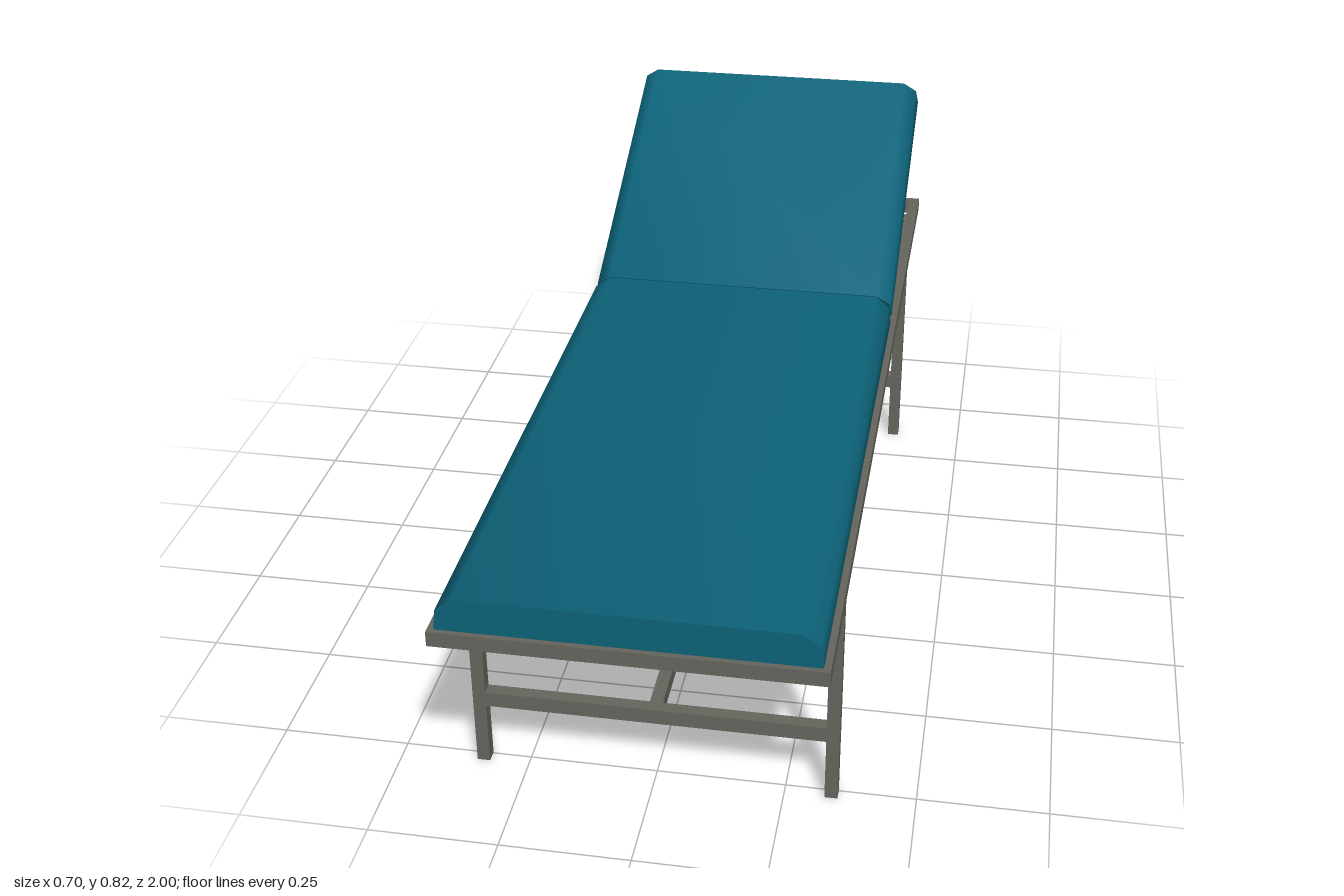
import * as THREE from 'three';
import { toCreasedNormals } from 'three/addons/utils/BufferGeometryUtils.js';

export function createModel() {
  const steel = new THREE.MeshStandardMaterial({ color: 0x66655d });
  steel.name = 'greySteel';
  const teal = new THREE.MeshStandardMaterial({ color: 0x0d637a });
  teal.name = 'tealVinyl';

  const model = new THREE.Group();
  model.name = 'adjustableCouch';

  const add = (name, geometry, material, x = 0, y = 0, z = 0) => {
    const mesh = new THREE.Mesh(geometry, material);
    mesh.name = name;
    mesh.position.set(x, y, z);
    model.add(mesh);
    return mesh;
  };
  const bar = (name, w, h, d, x, y, z) =>
    add(name, new THREE.BoxGeometry(w, h, d), steel, x, y, z);

  // Round rod between two points
  const rod = (name, a, b, radius) => {
    const dir = b.clone().sub(a);
    const mesh = add(name, new THREE.CylinderGeometry(radius, radius, dir.length(), 10), steel);
    mesh.position.copy(a).add(b).multiplyScalar(0.5);
    mesh.quaternion.setFromUnitVectors(new THREE.Vector3(0, 1, 0), dir.normalize());
  };

  // Cushion: bevelled cross-section run along z, softly shaded over the top
  const cushion = (length) => {
    const half = [[0.338, 0], [0.34, 0.005], [0.335, 0.042], [0.305, 0.066]];
    const points = [...half, ...half.map(([x, y]) => [-x, y]).reverse()];
    const shape = new THREE.Shape(points.map(([x, y]) => new THREE.Vector2(x, y)));
    const geometry = new THREE.ExtrudeGeometry(shape, { depth: length, bevelEnabled: false });
    return toCreasedNormals(geometry, 0.8);
  };

  // Top frame
  const T = 0.025, railY = 0.456, railH = 0.03, railX = 0.3395;
  for (const s of [-1, 1]) {
    bar(s > 0 ? 'leftRail' : 'rightRail', T, railH, 2, s * railX, railY, 0);
    bar(s > 0 ? 'frontRail' : 'backRail', 0.654, railH, T, 0, railY, s * 0.9875);
  }

  // Legs with a cross stretcher per pair, joined by a central stretcher
  const legZ = { front: 0.76, back: -0.612 };
  for (const [end, z] of Object.entries(legZ)) {
    for (const s of [-1, 1]) {
      bar(`${end}${s > 0 ? 'Left' : 'Right'}Leg`, T, 0.441, T, s * railX, 0.2205, z);
    }
    bar(`${end}Stretcher`, 0.654, 0.032, T, 0, 0.15, z);
  }
  bar('centreStretcher', T, 0.03, 1.347, 0, 0.15, 0.074);

  // Seat cushion and raised backrest
  add('seatCushion', cushion(1.275), teal, 0, 0.471, -0.285);
  const back = add('backrestCushion', cushion(0.667).translate(0, 0, -0.667), teal, 0, 0.476, -0.318);
  back.rotation.x = THREE.MathUtils.degToRad(25);

  // Backrest props and the rod that rests in the racks
  for (const s of [-1, 1]) {
    rod(s > 0 ? 'leftProp' : 'rightProp',
      new THREE.Vector3(s * 0.305, 0.672, -0.73), new THREE.Vector3(s * 0.305, 0.468, -0.872), 0.005);
  }
  rod('propRod', new THREE.Vector3(-0.325, 0.466, -0.872), new THREE.Vector3(0.325, 0.466, -0.872), 0.005);

  // Saw-toothed racks inside the side rails
  const rack = new THREE.Shape();
  const start = 0.58, pitch = 0.06, teeth = 5;
  rack.moveTo(start, 0.443);
  rack.lineTo(start + pitch * teeth + 0.02, 0.443);
  rack.lineTo(start + pitch * teeth + 0.02, 0.47);
  for (let i = teeth; i > 0; i--) {
    rack.lineTo(start + pitch * i, 0.47);
    rack.lineTo(start + pitch * i - 0.008, 0.45);
  }
  rack.lineTo(start, 0.47);
  const rackGeometry = new THREE.ExtrudeGeometry(rack, { depth: 0.016, bevelEnabled: false });
  rackGeometry.translate(0, 0, -0.008).rotateY(Math.PI / 2);
  for (const s of [-1, 1]) {
    add(s > 0 ? 'leftRack' : 'rightRack', rackGeometry, steel, s * 0.319, 0, 0);
  }

  return model;
}
